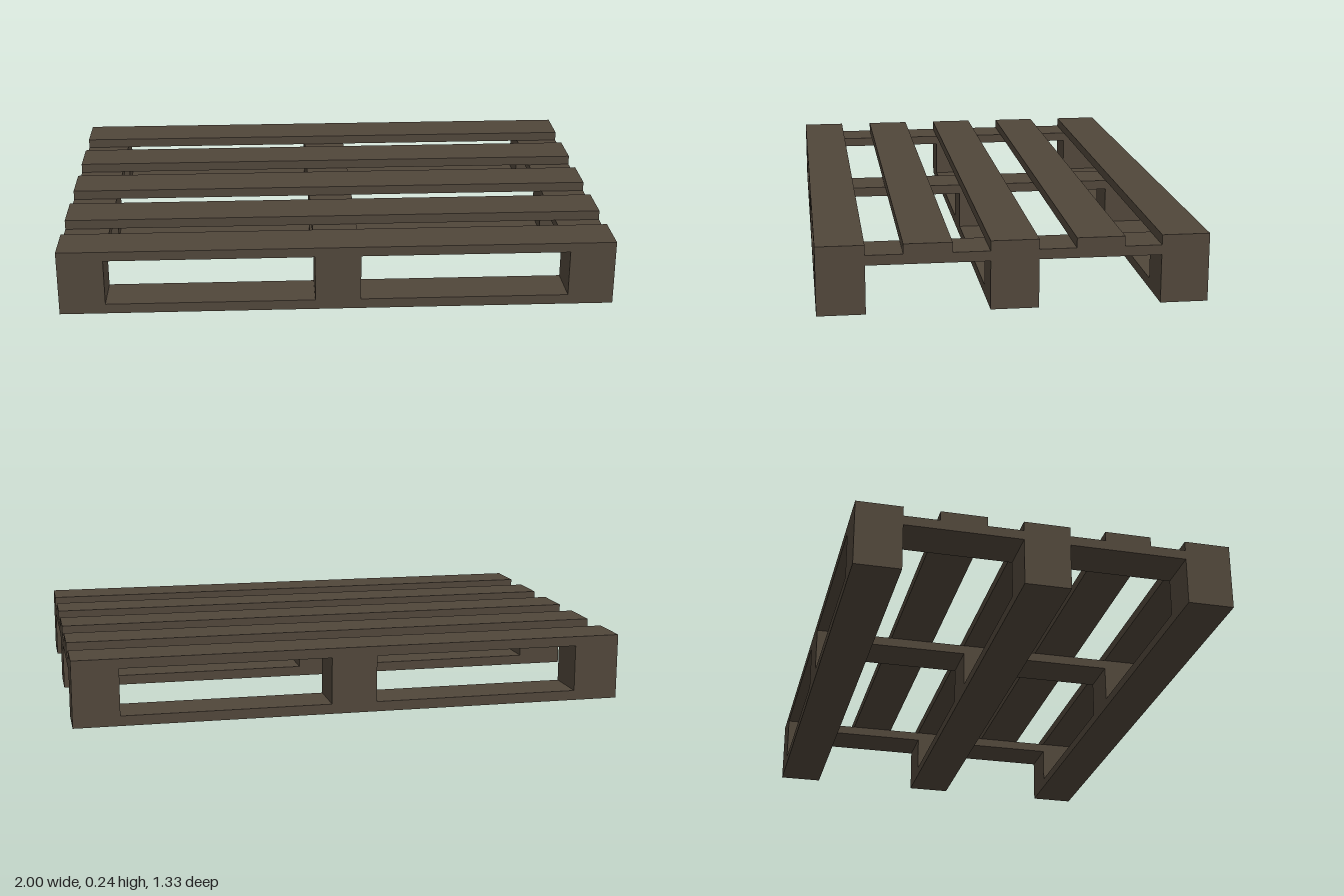
import * as THREE from 'three';

export function createModel() {
  const pallet = new THREE.Group();
  pallet.name = 'pallet';
  const wood = new THREE.MeshStandardMaterial({ color: 0x50463a });
  wood.name = 'dark wood';

  // Box spanning y0..y1, centred on (x, z)
  function plank(name, width, depth, y0, y1, x, z) {
    const mesh = new THREE.Mesh(new THREE.BoxGeometry(width, y1 - y0, depth), wood);
    mesh.name = name;
    mesh.position.set(x, (y0 + y1) / 2, z);
    pallet.add(mesh);
  }

  const LENGTH = 2, DEPTH = 1.333, BOARD = 0.165;
  const layers = [0, 0.036, 0.17, 0.205, 0.24];
  const columns = [-0.9175, 0, 0.9175];
  const rows = [-0.584, 0, 0.584];

  // Three bottom runners
  for (const z of rows) plank('bottomBoard', LENGTH, BOARD, layers[0], layers[1], 0, z);

  // Nine spacer blocks, with cross boards over each column
  for (const x of columns) {
    for (const z of rows) plank('block', BOARD, BOARD, layers[1], layers[2], x, z);
    plank('crossBoard', BOARD, DEPTH, layers[2], layers[3], x, 0);
  }

  // Five deck boards
  for (let i = -2; i <= 2; i++) {
    plank('deckBoard', LENGTH, BOARD, layers[3], layers[4], 0, i * 0.292);
  }

  return pallet;
}
